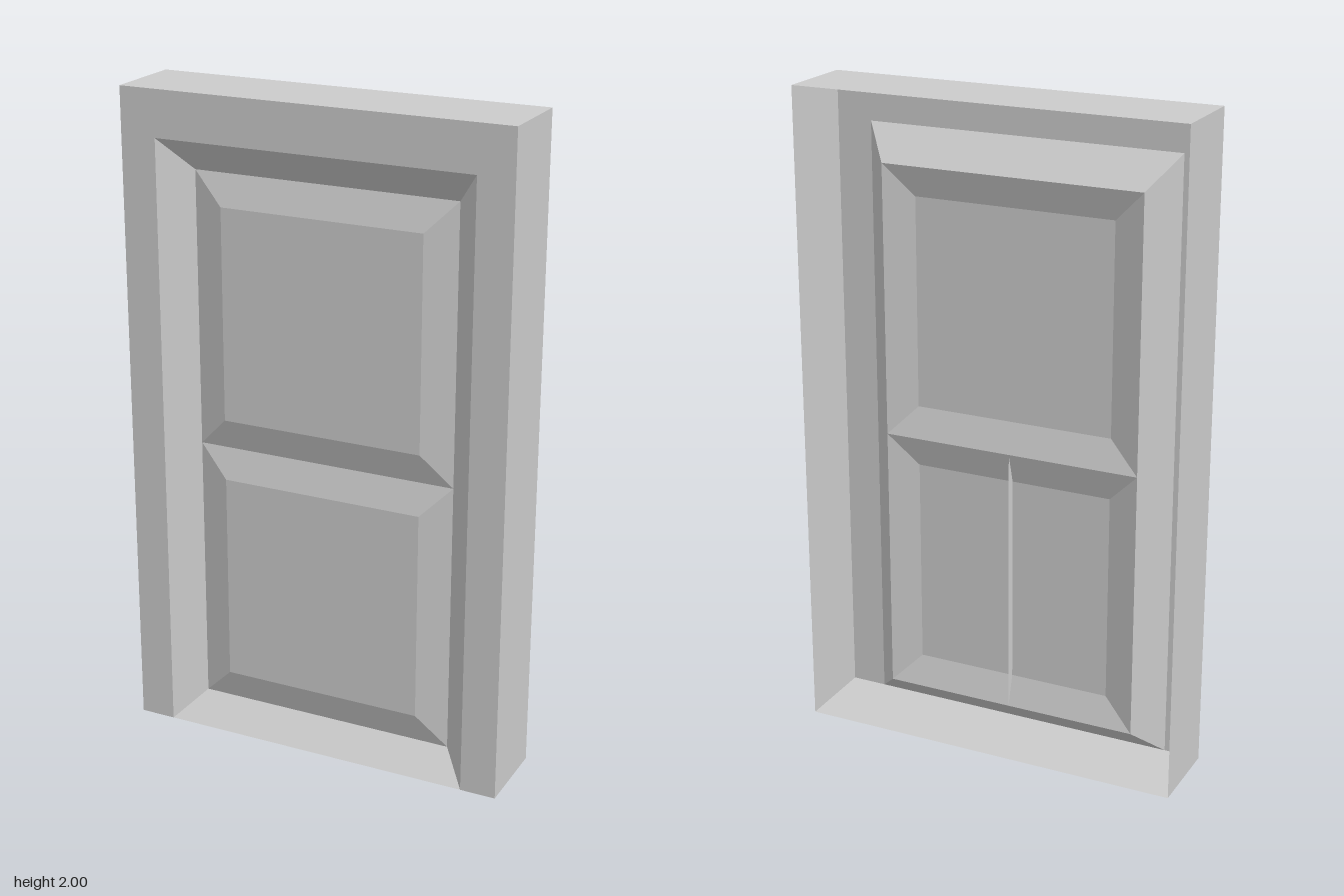
import * as THREE from 'three';

const material = new THREE.MeshStandardMaterial({
  color: 0xcccccc, flatShading: true, side: THREE.DoubleSide,
});

// Rectangle facing +z, corners counter-clockwise from bottom left
const rect = (halfWidth, y0, y1, z) => [
  [-halfWidth, y0, z], [halfWidth, y0, z], [halfWidth, y1, z], [-halfWidth, y1, z],
];

// Quads joining an outer rectangle to an inner one; edge 0 is the bottom
const band = (outer, inner, edges = [0, 1, 2, 3]) => edges.map((i) => {
  const j = (i + 1) % 4;
  return [outer[i], outer[j], inner[j], inner[i]];
});

function addMesh(group, name, quads) {
  const points = quads.flatMap(([a, b, c, d]) => [a, b, c, a, c, d]).flat();
  const geometry = new THREE.BufferGeometry();
  geometry.setAttribute('position', new THREE.Float32BufferAttribute(points, 3));
  geometry.computeVertexNormals();
  const mesh = new THREE.Mesh(geometry, material);
  mesh.name = name;
  group.add(mesh);
}

export function createModel() {
  const model = new THREE.Group();
  model.name = 'panelledDoor';

  const depth = 0.128;   // half depth of the frame
  const doorZ = 0.042;   // plane of the door's edges
  const panelZ = 0.069;  // plane of the raised panels
  const bevel = 0.095;

  const back = rect(0.6, 0, 2, -depth);
  const front = rect(0.6, 0, 2, depth);
  const opening = rect(0.49, 0, 1.86, depth);
  const door = rect(0.41, 0.08, 1.76, doorZ);

  // Frame: open-backed casing, three-sided face and sloped reveal
  addMesh(model, 'frameCasing', band(back, front));
  addMesh(model, 'frameFace', band(front, opening, [1, 2, 3]));
  addMesh(model, 'frameReveal', band(opening, door));

  // Two raised panels with bevelled borders
  for (const [name, y0, y1] of [['lowerPanel', 0.08, 0.92], ['upperPanel', 0.92, 1.76]]) {
    const raised = rect(0.315, y0 + bevel, y1 - bevel, panelZ);
    addMesh(model, name, [...band(rect(0.41, y0, y1, doorZ), raised), raised]);
  }

  // Thin upright web in the hollow behind the lower panel
  addMesh(model, 'lowerPanelWeb', [[
    [0, 0.08, doorZ], [0, 0.92, doorZ], [0, 0.92 - bevel, panelZ], [0, 0.08 + bevel, panelZ],
  ]]);

  return model;
}
